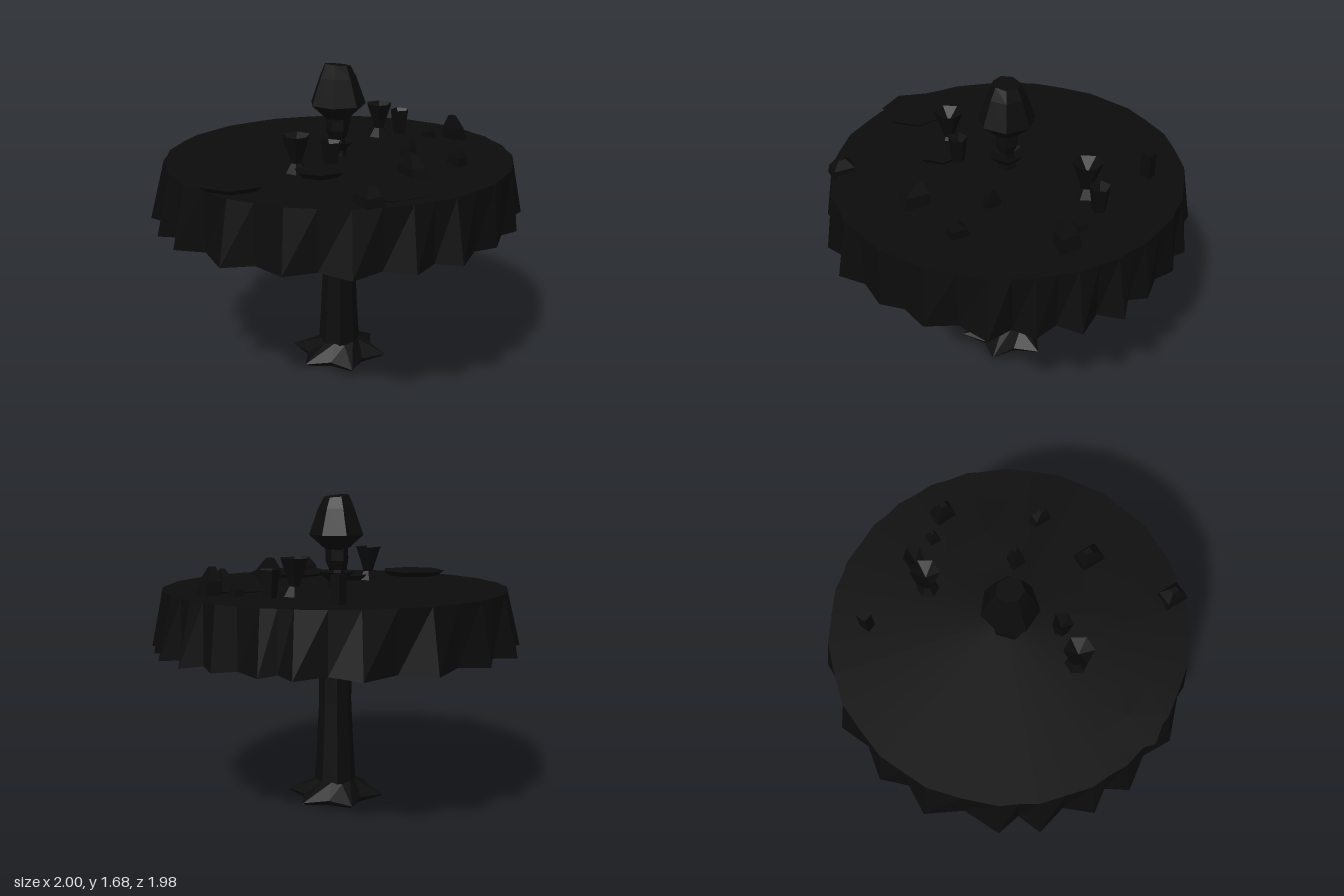
import * as THREE from 'three';

const TOP = 1.19;
const mat = new THREE.MeshStandardMaterial({ color: 0x0b0b0b, flatShading: true, side: THREE.DoubleSide });

// Triangle strips between successive closed rings of [x, y, z] points
function loft(rings, capStart = false, capEnd = false) {
  const n = rings[0].length, pos = [];
  const tri = (a, b, c) => pos.push(...a, ...b, ...c);
  for (let r = 0; r < rings.length - 1; r++) {
    for (let i = 0; i < n; i++) {
      const j = (i + 1) % n, A = rings[r], B = rings[r + 1];
      tri(A[i], B[i], A[j]);
      tri(A[j], B[i], B[j]);
    }
  }
  const cap = (ring, flip) => {
    const c = [0, 1, 2].map(k => ring.reduce((s, p) => s + p[k], 0) / n);
    ring.forEach((p, i) => {
      const q = ring[(i + 1) % n];
      flip ? tri(c, q, p) : tri(c, p, q);
    });
  };
  if (capStart) cap(rings[0], false);
  if (capEnd) cap(rings[rings.length - 1], true);
  const g = new THREE.BufferGeometry();
  g.setAttribute('position', new THREE.Float32BufferAttribute(pos, 3));
  g.computeVertexNormals();
  return g;
}

const polar = (a, r, y) => [Math.cos(a) * r, y, -Math.sin(a) * r];

export function createModel() {
  const model = new THREE.Group();
  const add = (name, geo, x = 0, y = 0, z = 0, ry = 0, parent = model) => {
    const m = new THREE.Mesh(geo, mat);
    m.name = name;
    m.position.set(x, y, z);
    m.rotation.y = ry;
    parent.add(m);
    return m;
  };
  const lathe = (points, sides) =>
    new THREE.LatheGeometry(points.map(p => new THREE.Vector2(...p)), sides);

  // Tablecloth: flat round top, pleats flaring to pointed folds at the hem
  const tips = [
    [1, 0.1], [1, -0.13], [0.92, -0.31], [0.8, -0.54], [0.7, -0.68], [0.45, -0.88],
    [0.1, -0.99], [-0.25, -0.96], [-0.53, -0.86], [-0.82, -0.59], [-0.93, -0.41],
    [-1, -0.12], [-1, 0.1], [-0.9, 0.43], [-0.7, 0.67], [-0.45, 0.88], [-0.16, 0.97],
    [0.09, 0.99], [0.38, 0.88], [0.62, 0.75], [0.85, 0.52], [0.93, 0.31],
  ];
  const hem = [], rim = [];
  tips.forEach(([x, z], i) => {
    const [u, v] = tips[(i + 1) % tips.length];
    const a = Math.atan2(-z, x), b = Math.atan2(-(z + v), x + u);
    hem.push([x, 0.87, z], polar(b, 0.925, 0.885));
    rim.push(polar(a, 0.93, TOP), polar(b, 0.92, TOP));
  });
  add('tablecloth', loft([rim, hem], true));

  // Pedestal column, swelling slightly toward the foot
  add('column', lathe([[0.115, 0.1], [0.105, 0.25], [0.09, 0.55], [0.093, TOP]], 8), 0, 0, 0, 0.3);

  // Six-pointed splayed foot
  const ring = (outer, inner, y, yInner) => Array.from({ length: 12 }, (_, i) =>
    polar(Math.PI * (i / 6 - 0.25), i % 2 ? inner : outer, i % 2 ? yInner : y));
  add('foot', loft([ring(0.115, 0.11, 0.1, 0.11), ring(0.27, 0.185, 0.025, 0.03),
    ring(0.25, 0.17, 0.01, 0)], true, true));

  // Centrepiece: shallow bowl stand, neck and faceted shade with a slanted top
  const centre = new THREE.Group();
  centre.name = 'centrepiece';
  centre.position.set(-0.01, 0, 0);
  model.add(centre);
  add('stand', lathe([[0, TOP], [0.05, TOP], [0.05, 1.22], [0.1, 1.27], [0.04, 1.25], [0, 1.25]], 6), 0, 0, 0, 0.2, centre);
  add('neck', lathe([[0.05, TOP], [0.04, 1.28], [0.062, 1.33], [0.062, 1.42]], 6), 0, 0, 0, 0, centre);
  const shade = lathe([[0, 1.39], [0.06, 1.39], [0.15, 1.47], [0.1, 1.61], [0.07, 1.675], [0, 1.675]], 7);
  const sp = shade.attributes.position;
  for (let i = 0; i < sp.count; i++) {
    if (sp.getY(i) > 1.65) sp.setY(i, sp.getY(i) - sp.getX(i) * 0.12);
  }
  shade.computeVertexNormals();
  add('shade', shade, 0, 0, 0, 0.2, centre);

  // Goblets
  for (const [x, z] of [[-0.355, 0.18], [0.41, -0.24]]) {
    add('goblet', lathe([[0, TOP], [0.06, TOP], [0.03, 1.24], [0.045, 1.29], [0.078, 1.38], [0, 1.32]], 6), x, 0, z, 0.5);
  }

  // Tumblers
  for (const [x, z] of [[-0.17, 0.21], [0.55, -0.23]]) {
    add('tumbler', lathe([[0, TOP], [0.036, TOP], [0.055, 1.33], [0, 1.24]], 5), x, 0, z, 0.4);
  }

  // Upright card
  add('card', new THREE.BoxGeometry(0.06, 0.15, 0.05), 0.4, 1.255, -0.61, 0.35);

  // Thin plates
  for (const [x, z, r, h] of [[-0.73, 0.23, 0.19, 0.03], [0.51, 0.18, 0.24, 0.012],
    [-0.12, 0.66, 0.25, 0.02], [-0.27, 0.27, 0.14, 0.03]]) {
    add('plate', new THREE.CylinderGeometry(r, r * 0.8, h, 7), x, TOP + h / 2, z, 0.4);
  }

  // Folded napkins: leaning four-cornered peaks [x, z, width, depth, height, lean x, lean z]
  for (const [x, z, w, d, h, lx, lz] of [
    [0.09, 0.57, 0.1, 0.14, 0.12, 0, -0.03], [0.285, 0.23, 0.06, 0.08, 0.11, 0.02, 0],
    [0.735, 0.05, 0.09, 0.11, 0.14, -0.02, 0], [-0.32, 0.8, 0.1, 0.13, 0.09, 0, 0],
    [0.43, 0.47, 0.06, 0.1, 0.08, 0, 0.02], [0.64, -0.07, 0.06, 0.06, 0.07, 0, 0],
  ]) {
    const at = (k, y) => [[1, 1], [1, -1], [-1, -1], [-1, 1]].map(([sx, sz]) =>
      [sx * w / 2 * k + lx * y / h, y, sz * d / 2 * k + lz * y / h]);
    add('napkin', loft([at(0.3, h), at(0.85, h * 0.5), at(1, 0)], true, true), x, TOP, z);
  }
  return model;
}
